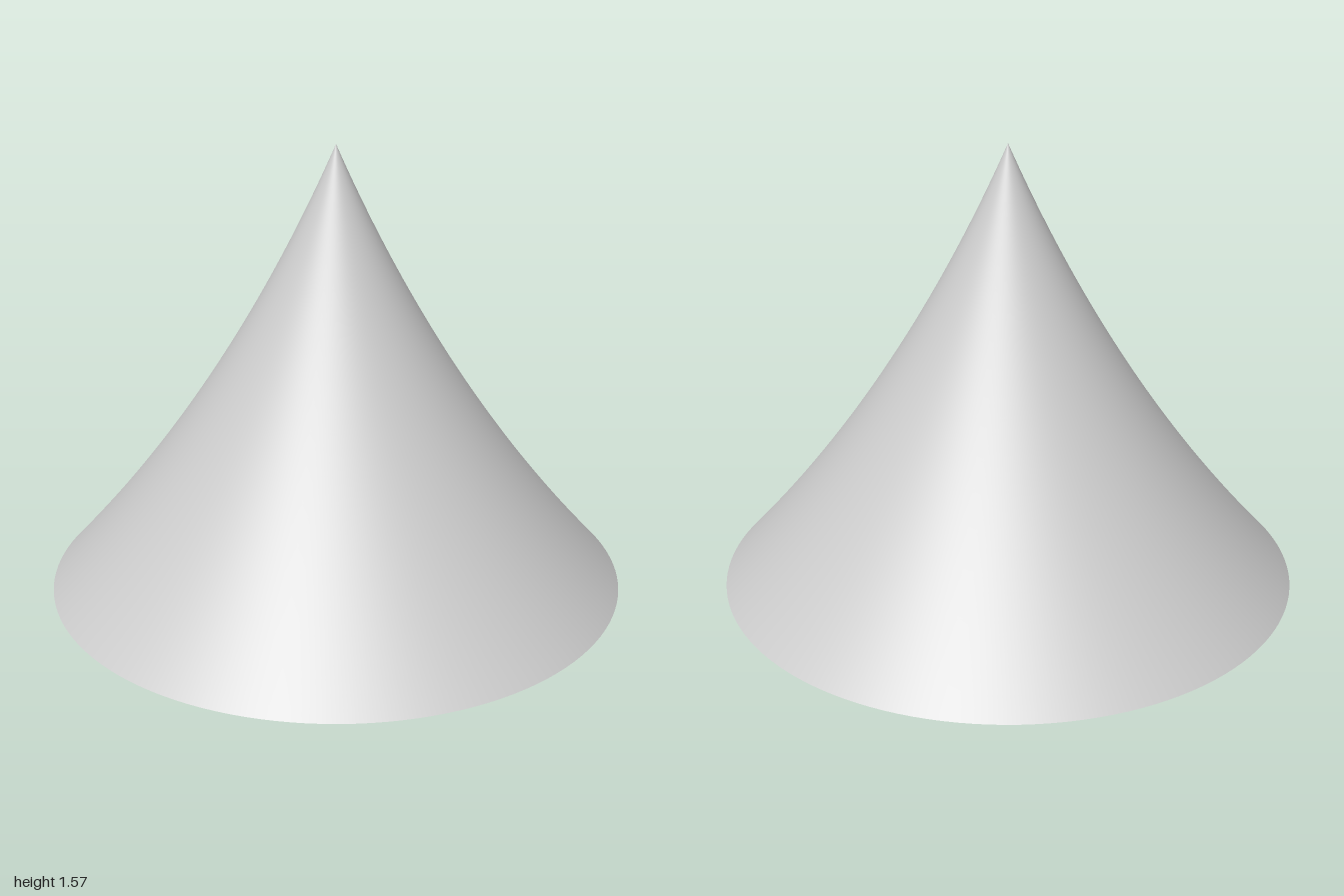
import * as THREE from 'three';

export function createModel() {
  const group = new THREE.Group();
  group.name = 'flaredCone';

  // Concave profile from the rim up to the pointed tip
  const profile = new THREE.QuadraticBezierCurve(
    new THREE.Vector2(1, 0),
    new THREE.Vector2(0.38, 0.68),
    new THREE.Vector2(0, 1.57)
  );

  // Thin hollow shell, open at the bottom
  const shell = new THREE.Mesh(
    new THREE.LatheGeometry(profile.getPoints(40), 128),
    new THREE.MeshStandardMaterial({ color: 0xcccccc, side: THREE.DoubleSide })
  );
  shell.name = 'coneShell';
  group.add(shell);

  return group;
}
